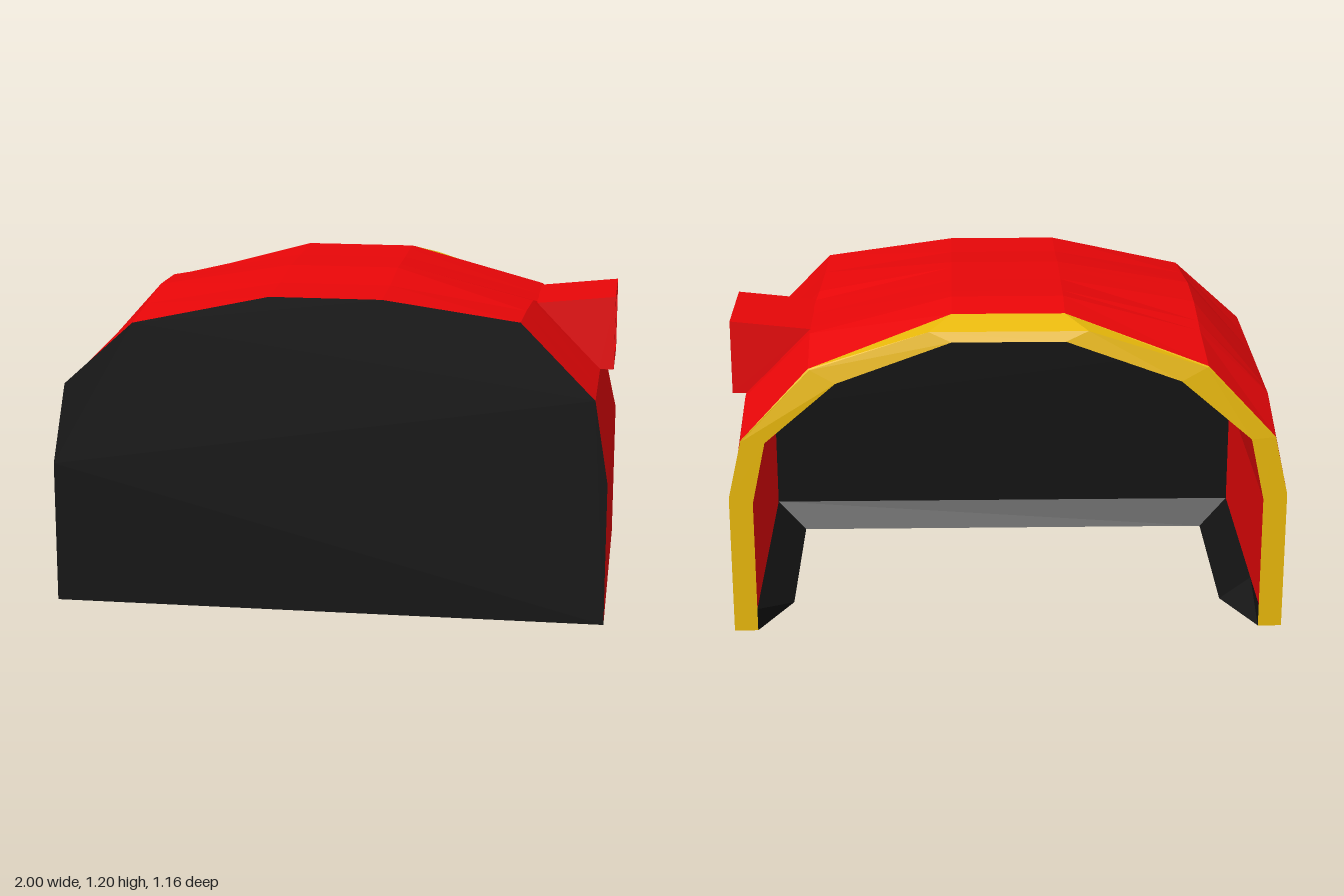
import * as THREE from 'three';

const RED = 0xe80608, YELLOW = 0xe8b80a, BLACK = 0x121212;
const mat = (color) => new THREE.MeshStandardMaterial({ color, flatShading: true });

// Flat-shaded sheet through rows of points; skip(i, j) leaves a panel open
function sheet(name, rows, color, { skip = () => false, closed = false } = {}) {
  const pos = [];
  for (let i = 0; i < rows.length - 1; i++) {
    const n = rows[i].length;
    for (let j = 0; j < (closed ? n : n - 1); j++) {
      if (skip(i, j)) continue;
      const k = (j + 1) % n;
      const a = rows[i][j], b = rows[i + 1][j], c = rows[i + 1][k], d = rows[i][k];
      pos.push(...a, ...b, ...c, ...a, ...c, ...d);
    }
  }
  const geo = new THREE.BufferGeometry();
  geo.setAttribute('position', new THREE.Float32BufferAttribute(pos, 3));
  geo.computeVertexNormals();
  const mesh = new THREE.Mesh(geo, mat(color));
  mesh.name = name;
  return mesh;
}

// Flat panel from a 2D outline
function panel(name, pts, color) {
  const shape = new THREE.Shape(pts.map((p) => new THREE.Vector2(p[0], p[1])));
  const mesh = new THREE.Mesh(new THREE.ShapeGeometry(shape), mat(color));
  mesh.name = name;
  return mesh;
}

// Adds the mirrored half, in reverse order
const mirrored = (near) => [...near, ...near.map(([x, ...rest]) => [-x, ...rest]).reverse()];

// Full arch at depth z from its +x half; single points may carry their own depth
const arch = (z, half) => mirrored(half.map(([x, y, pz = z]) => [x, y, pz]));

export function createModel() {
  const g = new THREE.Group();
  g.name = 'archedShelter';

  // Outer skin stations: z, near shoulder x and y, far shoulder y, crown y
  const outer = [
    [0.58, 0.685, 1.09, 1.05, 1.157],
    [0.35, 0.69, 1.086, 1.075, 1.165],
    [0.12, 0.7, 1.08, 1.105, 1.19],
    [0.05, 0.71, 1.065, 1.104, 1.19],
    [-0.11, 0.715, 1.06, 1.1, 1.19],
    [-0.27, 0.715, 1.06, 1.075, 1.194],
    [-0.34, 0.71, 1.06, 1.06, 1.195],
  ].map(([z, sx, near, far, top]) => {
    const row = arch(z, [[1, 0], [1, 0.52], [0.95, 0.82], [sx, near], [0.2, top]]);
    row[6] = [-0.695, far, z];
    return row;
  });

  // Back rim: outer edge, bevel edge and inner edge
  const rimOuter = arch(-0.58, [[1, 0], [1, 0.52], [0.95, 0.74], [0.705, 1.0, -0.56], [0.2, 1.17, -0.47]]);
  const rimMid = arch(-0.58, [[0.995, 0], [0.995, 0.52], [0.945, 0.738], [0.7, 0.997, -0.566], [0.28, 1.134, -0.565]]);
  const rimInner = arch(-0.58, [[0.915, 0], [0.915, 0.5], [0.865, 0.73], [0.61, 0.95], [0.2, 1.1]]);

  // Inner lining stations, back to front: z, rise of the crown
  const ledge = 0.085;
  const inner = [[-0.34, 0.04], [0.12, 0.03], [0.45, 0]].map(([z, up]) =>
    arch(z, [[0.915, ledge], [0.915, 0.5], [0.86, 0.735], [0.6, 0.96 + up / 3], [0.19, 1.07 + up]]));
  const liningBack = rimInner.map(([x, y, z]) => [x, Math.max(y, ledge), z]);

  // The side panel behind the window is left open
  g.add(sheet('outerShell', [...outer, rimOuter], RED, { skip: (i, j) => j === 2 && (i === 3 || i === 4) }));
  g.add(sheet('backRim', [rimOuter, rimMid, rimInner], YELLOW));
  g.add(sheet('innerLining', [liningBack, ...inner], RED));

  // Front wall, outside and inside
  const front = panel('frontWall', outer[0], BLACK);
  front.position.z = 0.58;
  const back = panel('frontWallInside', inner[2], BLACK);
  back.position.z = 0.45;
  back.rotation.y = Math.PI;
  g.add(front, back);

  // Sloping ledge around the floor, and the underside that meets its lower edge
  const ledgeTop = mirrored([[0.915, ledge, -0.58], [0.915, ledge, -0.34], [0.915, ledge, 0.45]]);
  const ledgeFoot = mirrored([[0.915, 0, -0.58], [0.8, 0, -0.34], [0.8, 0, 0.36]]);
  g.add(sheet('floorLedge', [ledgeTop, ledgeFoot], BLACK));
  const plan = [[1, -0.58], [1, 0.58], [-1, 0.58], [-1, -0.58], ...ledgeFoot.map(([x, , z]) => [x, z]).reverse()];
  const base = panel('baseUnderside', plan, BLACK);
  base.rotation.x = Math.PI / 2;
  g.add(base);

  // Window hood: outside, frame, then the inside back to the open panel
  const ring = (xLow, yLow, xHigh, yHigh, zFront, zBack) =>
    [[xLow, yLow, zBack], [xLow, yLow, zFront], [xHigh, yHigh, zFront], [xHigh, yHigh, zBack]];
  g.add(sheet('windowHood', [
    ring(0.945, 0.82, 0.71, 1.062, 0.075, -0.297),
    ring(1, 0.82, 1, 1.093, 0.075, -0.297),
    ring(1, 0.845, 1, 1.068, 0.043, -0.265),
    ring(0.935, 0.835, 0.72, 1.05, 0.043, -0.265),
  ], RED, { closed: true }));

  return g;
}
